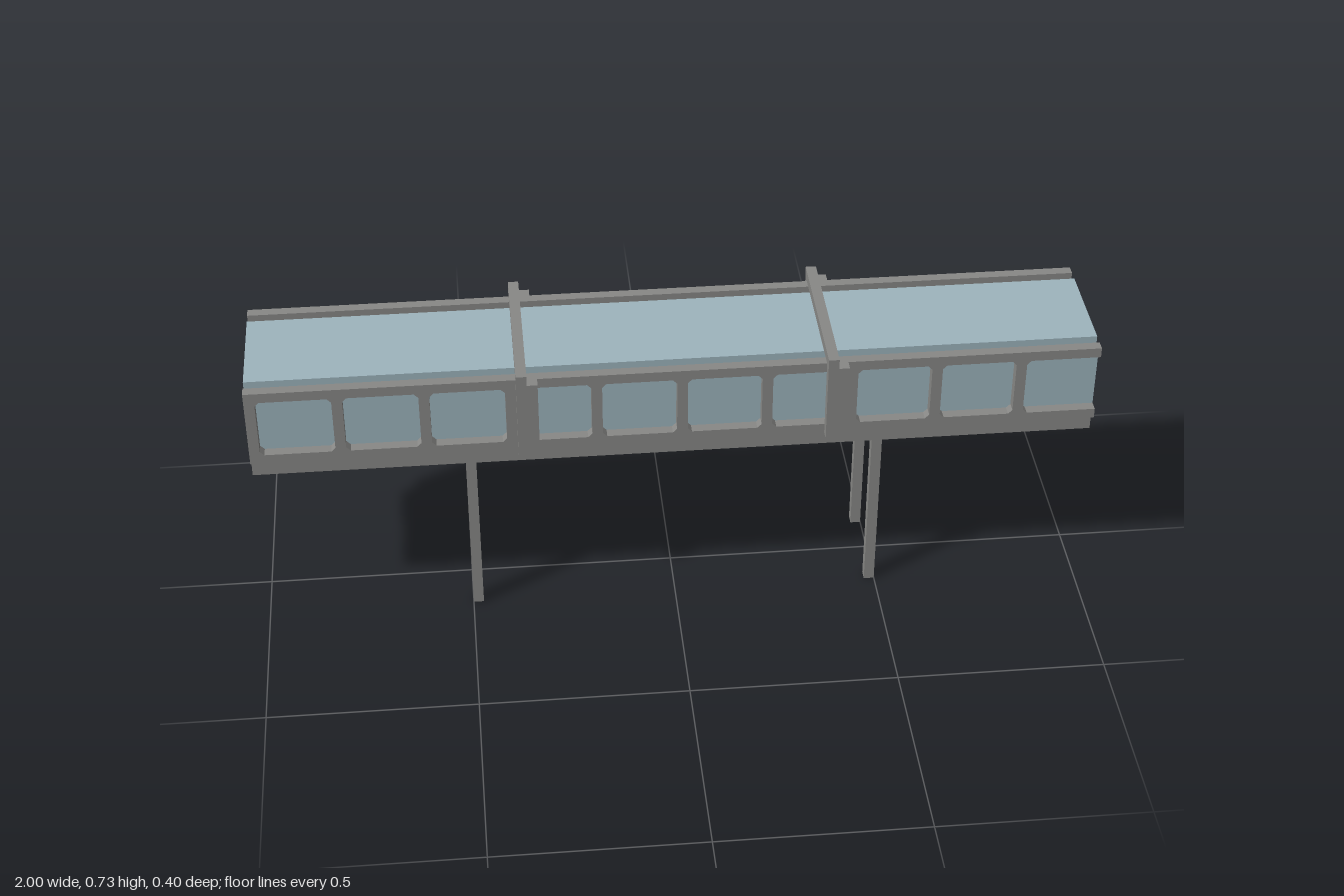
import * as THREE from 'three';

const concrete = new THREE.MeshStandardMaterial({ color: 0x888886 });
concrete.name = 'grey concrete';
const glass = new THREE.MeshStandardMaterial({ color: 0x9db4bd });
glass.name = 'pale blue glass';

export function createModel() {
  const model = new THREE.Group();
  model.name = 'coveredFootbridge';

  // Box given by its limits on each axis
  const box = (name, mat, x0, x1, y0, y1, z0, z1) => {
    const mesh = new THREE.Mesh(new THREE.BoxGeometry(x1 - x0, y1 - y0, z1 - z0), mat);
    mesh.position.set((x0 + x1) / 2, (y0 + y1) / 2, (z0 + z1) / 2);
    mesh.name = name;
    model.add(mesh);
  };
  // Same box on both long sides
  const pair = (name, mat, x0, x1, y0, y1, z0, z1) => {
    box(name + 'Front', mat, x0, x1, y0, y1, z0, z1);
    box(name + 'Back', mat, x0, x1, y0, y1, -z1, -z0);
  };

  // Deck, glazed walls and glazed roof
  box('deck', concrete, -1, 1, 0.45, 0.5, -0.15, 0.15);
  pair('wallGlass', glass, -1, 1, 0.525, 0.675, 0.125, 0.15);
  box('roofGlass', glass, -1, 1, 0.675, 0.7, -0.125, 0.125);

  // Support posts
  for (const x of [-0.5, 0.475]) pair('post', concrete, x, x + 0.025, 0, 0.45, 0.1, 0.125);

  // Portal frames: wide columns with a narrower beam over the roof
  for (const [colX, beamX] of [[-0.375, -0.375], [0.35, 0.35]]) {
    pair('portalColumn', concrete, colX, colX + 0.05, 0.5, 0.7, 0.175, 0.2);
    box('portalBeam', concrete, beamX, beamX + 0.025, 0.7, 0.725, -0.2, 0.2);
  }

  // Window frame: bevelled openings every 0.2, the last bay open at the end
  const y0 = 0.525, y1 = 0.675, c = 0.01;
  const points = (list) => list.map(([x, y]) => new THREE.Vector2(x, y));
  const frame = new THREE.Shape(points([
    [-1, 0.5], [1, 0.5], [1, y0], [0.825 + c, y0], [0.825, y0 + c],
    [0.825, y1 - c], [0.825 + c, y1], [1, y1], [1, 0.7], [-1, 0.7],
  ]));
  for (let i = 0; i < 9; i++) {
    const a = -0.975 + 0.2 * i, b = a + 0.175;
    frame.holes.push(new THREE.Path(points([
      [a + c, y0], [a, y0 + c], [a, y1 - c], [a + c, y1],
      [b - c, y1], [b, y1 - c], [b, y0 + c], [b - c, y0],
    ])));
  }
  const frameGeometry = new THREE.ExtrudeGeometry(frame, { depth: 0.025, bevelEnabled: false });
  for (const [name, z] of [['windowFrameFront', 0.15], ['windowFrameBack', -0.175]]) {
    const mesh = new THREE.Mesh(frameGeometry, concrete);
    mesh.position.z = z;
    mesh.name = name;
    model.add(mesh);
  }

  return model;
}
